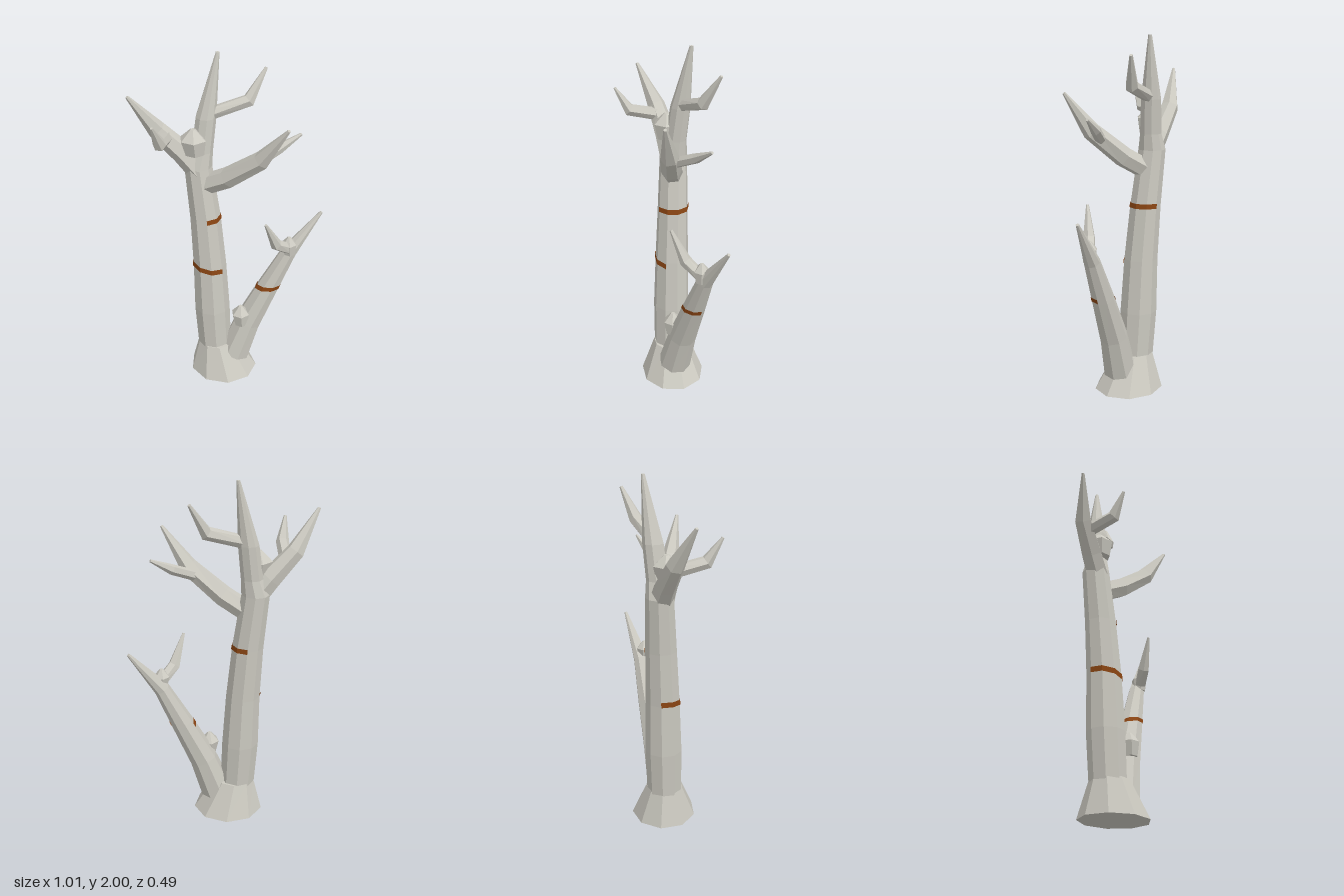
import * as THREE from 'three';

const bark = new THREE.MeshStandardMaterial({ color: 0xcbc9c0, flatShading: true });
bark.name = 'pale grey bark';
const scar = new THREE.MeshStandardMaterial({ color: 0x8b4513, flatShading: true, side: THREE.DoubleSide });
scar.name = 'brown scar';

// Rings of a limb; each point is [x, y, z, radius, optional depth radius].
function makeRings(points, sides, phase, level) {
  const pos = points.map((p) => new THREE.Vector3(p[0], p[1], p[2]));
  const dirs = pos.map((_, k) => {
    if (level) return new THREE.Vector3(0, 1, 0);
    const dir = new THREE.Vector3();
    if (k > 0) dir.add(pos[k].clone().sub(pos[k - 1]).normalize());
    if (k < pos.length - 1) dir.add(pos[k + 1].clone().sub(pos[k]).normalize());
    return dir.normalize();
  });
  // Limbs that run forwards take their reference from x, the rest from z
  const ref = Math.abs(dirs[0].z) > 0.8 ? new THREE.Vector3(1, 0, 0) : new THREE.Vector3(0, 0, 1);
  return pos.map((c, k) => {
    const u = ref.clone().addScaledVector(dirs[k], -ref.dot(dirs[k])).normalize();
    const v = dirs[k].clone().cross(u);
    const [, , , r, depth = r] = points[k];
    return Array.from({ length: sides }, (_, i) => {
      const a = phase + (i * 2 * Math.PI) / sides;
      return c.clone().addScaledVector(u, depth * Math.cos(a)).addScaledVector(v, r * Math.sin(a));
    });
  });
}

function meshFrom(name, tris, material) {
  const g = new THREE.BufferGeometry().setFromPoints(tris);
  g.computeVertexNormals();
  const mesh = new THREE.Mesh(g, material);
  mesh.name = name;
  return mesh;
}

// Closed faceted limb lofted through its rings
function limb(name, points, { sides = 6, phase = 0, level = false } = {}) {
  const rings = makeRings(points, sides, phase, level);
  const tris = [];
  for (let k = 0; k < rings.length - 1; k++) {
    for (let i = 0; i < sides; i++) {
      const j = (i + 1) % sides, a = rings[k], b = rings[k + 1];
      tris.push(a[i], a[j], b[j], a[i], b[j], b[i]);
    }
  }
  const last = rings[rings.length - 1];
  for (let i = 1; i < sides - 1; i++) {
    tris.push(rings[0][0], rings[0][i + 1], rings[0][i], last[0], last[i], last[i + 1]);
  }
  return meshFrom(name, tris, bark);
}

// Thin stripe lying on facets from..to of one limb segment, at fraction t
function stripe(name, points, opts, seg, t, width, from, to, tilt) {
  const { sides, phase, level } = opts;
  const rings = makeRings(points, sides, phase, level);
  const centre = (k) => new THREE.Vector3(...points[k].slice(0, 3));
  const at = (i, off) => {
    const n = (i + sides) % sides;
    const f = t + off - tilt * Math.sin(phase + (i * 2 * Math.PI) / sides);
    const c = centre(seg).lerp(centre(seg + 1), f);
    return rings[seg][n].clone().lerp(rings[seg + 1][n], f).sub(c).multiplyScalar(1.04).add(c);
  };
  const tris = [];
  for (let i = from; i < to; i++) {
    const a = at(i, -width), b = at(i + 1, -width), c = at(i + 1, width), d = at(i, width);
    tris.push(a, b, c, a, c, d);
  }
  return meshFrom(name, tris, scar);
}

// Rounded bud: short stem, wide rim, low cap
function bud(name, x, y, z, r, h) {
  return limb(name, [
    [x + r * 0.1, y, z, r * 0.75],
    [x, y + h * 0.6, z, r],
    [x, y + h, z, r * 0.2],
  ], { sides: 6, phase: 0.3, level: true });
}

export function createModel() {
  const tree = new THREE.Group();
  tree.name = 'bareTree';

  // Flared foot and main trunk
  const trunkOpts = { sides: 9, phase: Math.PI / 9, level: true };
  const trunk = [
    [-0.085, 0.18, -0.03, 0.1],
    [-0.1, 0.45, -0.035, 0.105],
    [-0.113, 0.76, -0.04, 0.096],
    [-0.137, 1.07, -0.05, 0.087],
    [-0.175, 1.38, -0.06, 0.077],
    [-0.155, 1.47, -0.07, 0.06],
    [-0.135, 1.66, -0.09, 0.056],
    [-0.08, 2.0, -0.135, 0.01],
  ];
  tree.add(limb('rootFlare', [
    [-0.03, 0, -0.03, 0.203, 0.186],
    [-0.07, 0.2, -0.03, 0.112, 0.105],
  ], trunkOpts));
  tree.add(limb('trunk', trunk, trunkOpts));

  // Low side stem
  const stemOpts = { sides: 8, phase: Math.PI / 8, level: false };
  const stem = [
    [0.04, 0.12, -0.03, 0.095],
    [0.115, 0.35, -0.06, 0.08],
    [0.23, 0.61, -0.1, 0.063],
    [0.335, 0.84, -0.135, 0.045],
    [0.497, 1.08, -0.215, 0.009],
  ];
  tree.add(limb('sideStem', stem, stemOpts));

  // Branches and twigs
  const branches = {
    leftBranch: [[-0.17, 1.36, -0.05, 0.066], [-0.25, 1.46, -0.035, 0.062],
      [-0.38, 1.6, 0.0, 0.05], [-0.5, 1.81, 0.088, 0.009]],
    forwardTwig: [[-0.33, 1.56, 0.0, 0.036], [-0.315, 1.6, 0.165, 0.036], [-0.328, 1.725, 0.24, 0.008]],
    upperBranch: [[-0.13, 1.67, -0.09, 0.035], [0.08, 1.74, -0.165, 0.037], [0.155, 1.9, -0.238, 0.009]],
    middleBranch: [[-0.14, 1.27, -0.05, 0.058], [0.0, 1.35, -0.015, 0.058],
      [0.19, 1.5, 0.03, 0.05], [0.333, 1.705, 0.08, 0.009]],
    middleTwig: [[0.14, 1.45, 0.01, 0.03], [0.265, 1.52, -0.09, 0.028], [0.368, 1.585, -0.147, 0.008]],
    stemTwig: [[0.345, 0.865, -0.12, 0.033], [0.272, 0.94, -0.04, 0.034], [0.222, 1.105, 0.03, 0.008]],
  };
  for (const [name, points] of Object.entries(branches)) tree.add(limb(name, points));

  // Buds in the forks
  tree.add(bud('forkBud', -0.19, 1.47, -0.025, 0.075, 0.14));
  tree.add(bud('lowBud', 0.08, 0.36, -0.01, 0.055, 0.13));
  tree.add(bud('stemBud', 0.335, 0.84, -0.115, 0.045, 0.11));

  // Brown stripes in the bark
  tree.add(stripe('lowerTrunkStripe', trunk, trunkOpts, 1, 0.985, 0.05, -3, 1, 0.06));
  tree.add(stripe('upperTrunkStripe', trunk, trunkOpts, 3, 0.005, 0.045, 0, 4, 0));
  tree.add(stripe('stemStripe', stem, stemOpts, 1, 0.985, 0.05, -3, 2, -0.12));
  return tree;
}
